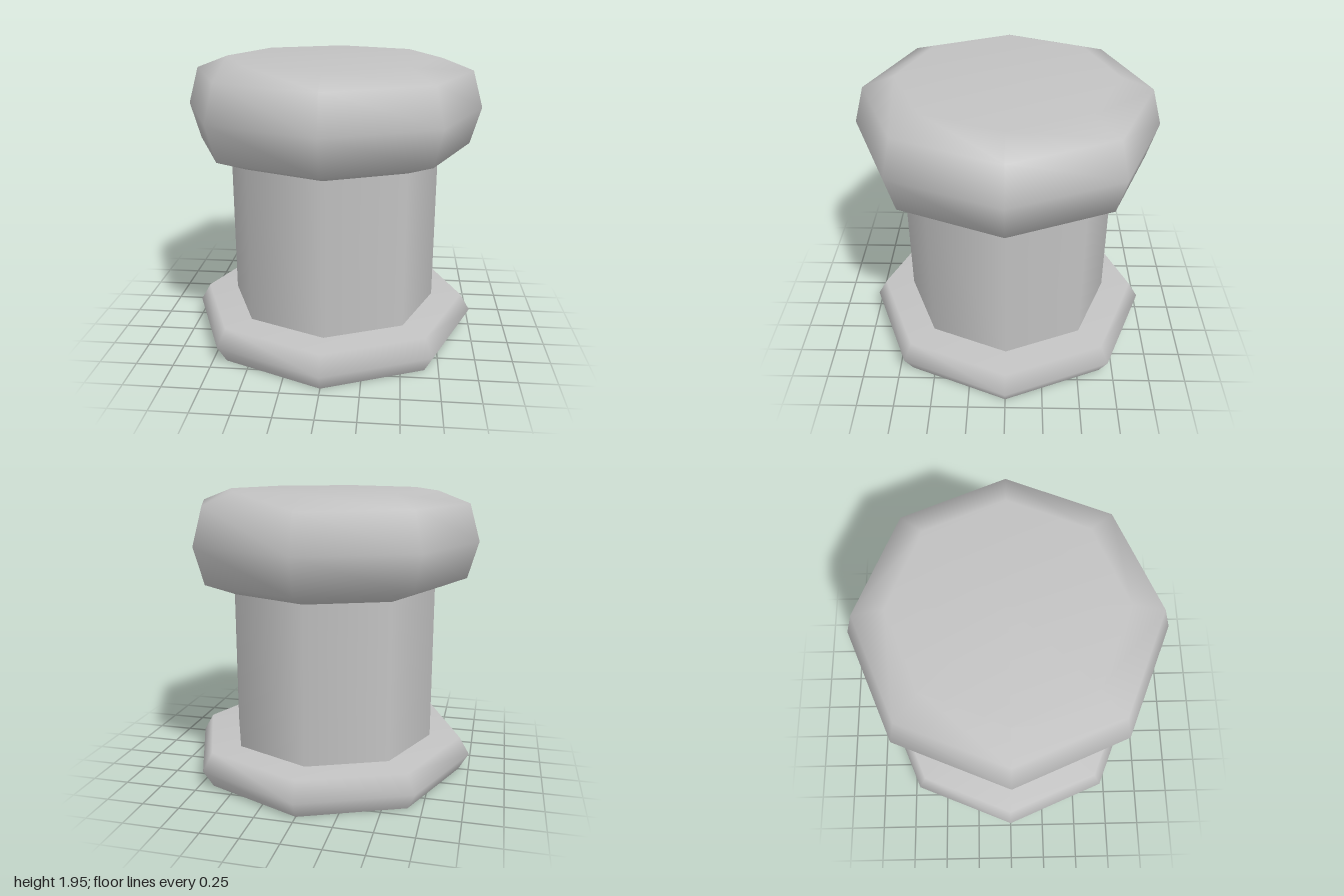
import * as THREE from 'three';

const SIDES = 8;

export function createModel() {
  const group = new THREE.Group();
  group.name = 'bollard';
  const grey = new THREE.MeshStandardMaterial({ color: 0xc2c2c2, side: THREE.DoubleSide });
  grey.name = 'grey';

  // Turns a bottom-to-top [radius, height] profile into a smooth octagonal part
  const turn = (name, profile) => {
    const points = profile.map(([r, y]) => new THREE.Vector2(r, y));
    const mesh = new THREE.Mesh(new THREE.LatheGeometry(points, SIDES), grey);
    mesh.name = name;
    group.add(mesh);
  };

  // Base flange: closed on top, hollow underneath
  turn('base', [[0.93, 0], [1, 0.12], [0.93, 0.24], [0, 0.24]]);

  // Straight column between the flange and the head
  turn('column', [[0.72, 0.24], [0.72, 1.295]]);

  // Wide rounded head with a flat top
  turn('head', [[0.72, 1.295], [0.93, 1.375], [1, 1.62], [0.93, 1.865], [0.72, 1.945], [0, 1.945]]);

  return group;
}
